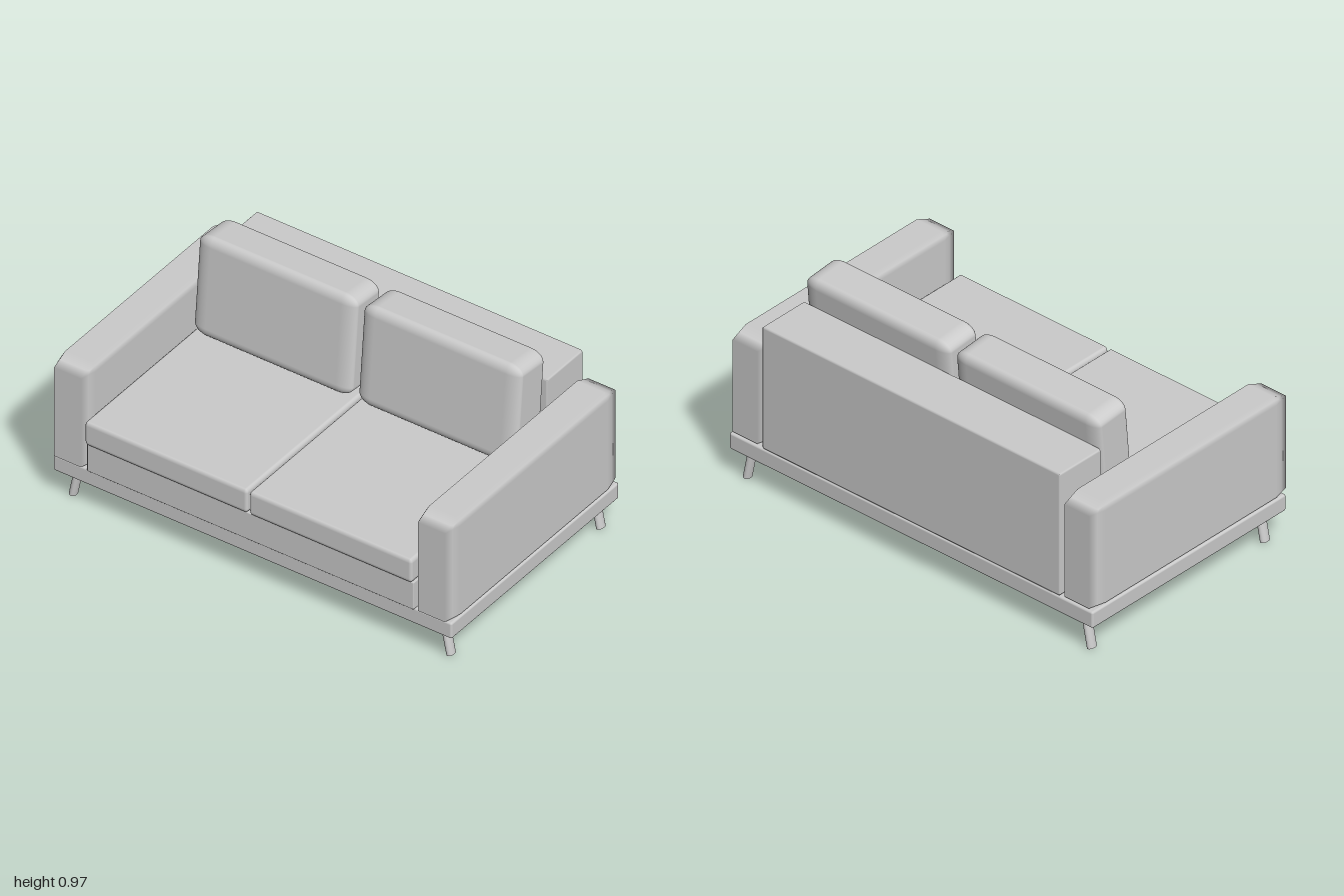
import * as THREE from 'three';

const material = new THREE.MeshStandardMaterial({ color: 0xcccccc });

// Box with softly shaded edges. bevel = [x, y, z] inset; steps = 1 gives a plain chamfer, more gives a round edge.
function softBox(size, bevel, steps = 1) {
  const n = 2 * steps + 1;
  const geo = new THREE.BoxGeometry(2, 2, 2, n, n, n);
  const pos = geo.attributes.position, nor = geo.attributes.normal;
  const dir = new THREE.Vector3(), normal = new THREE.Vector3();
  for (let v = 0; v < pos.count; v++) {
    const side = [];
    for (let a = 0; a < 3; a++) {
      const i = Math.round((pos.getComponent(v, a) + 1) / 2 * n);
      side[a] = i <= steps ? -1 : 1;
      const t = (i <= steps ? i - steps : i - steps - 1) / steps;
      dir.setComponent(a, Math.tan(t * Math.PI / 4));
    }
    const length = steps === 1 ? Math.abs(dir.x) + Math.abs(dir.y) + Math.abs(dir.z) : dir.length();
    dir.divideScalar(length);
    for (let a = 0; a < 3; a++) {
      const d = dir.getComponent(a);
      pos.setComponent(v, a, side[a] * (size[a] / 2 - bevel[a]) + d * bevel[a]);
      normal.setComponent(a, d / bevel[a]);
    }
    normal.normalize();
    nor.setXYZ(v, normal.x, normal.y, normal.z);
  }
  return geo;
}

export function createModel() {
  const sofa = new THREE.Group();
  sofa.name = 'sofa';

  const add = (name, geometry, x, y, z) => {
    const mesh = new THREE.Mesh(geometry, material);
    mesh.name = name;
    mesh.position.set(x, y, z);
    sofa.add(mesh);
    return mesh;
  };
  // Soft box placed by its minimum and maximum corners
  const block = (name, min, max, bevel, steps) => {
    const size = min.map((m, a) => max[a] - m);
    const mid = min.map((m, a) => (max[a] + m) / 2);
    return add(name, softBox(size, bevel, steps), ...mid);
  };

  // Plinth, seat frame and backrest
  block('base', [-1, 0.14, -0.605], [1, 0.22, 0.58], [0.01, 0.01, 0.01], 2);
  block('seatFrame', [-0.82, 0.22, -0.36], [0.82, 0.36, 0.595], [0.005, 0.005, 0.005]);
  block('backrest', [-0.82, 0.22, -0.605], [0.82, 0.82, -0.35], [0.008, 0.01, 0.005]);

  for (const s of [-1, 1]) {
    const side = s > 0 ? 'left' : 'right';

    // Arm: wide chamfers along its length, flattened towards the base
    const armGeo = softBox([0.175, 0.5, 1.205], [0.02, 0.036, 0.08]);
    const p = armGeo.attributes.position;
    for (let i = 0; i < p.count; i++) {
      const rise = p.getY(i) + 0.25;
      if (rise < 0.04) p.setY(i, -0.25 + rise * 0.35);
    }
    add(side + 'Arm', armGeo, s * 0.9125, 0.47, -0.003);

    // Seat cushion
    const seat = softBox([0.815, 0.12, 0.96], [0.015, 0.02, 0.012], 2);
    add(side + 'SeatCushion', seat, s * 0.4125, 0.424, 0.13);

    // Back cushion leaning on the backrest
    const back = softBox([0.795, 0.482, 0.195], [0.07, 0.045, 0.03], 4);
    add(side + 'BackCushion', back, s * 0.4125, 0.7235, -0.247).rotation.x = -0.092;

    // Splayed oval legs
    for (const [end, z] of [['Front', 0.508], ['Back', -0.55]]) {
      const legGeo = new THREE.CylinderGeometry(1, 1, 0.15, 20);
      legGeo.scale(0.017, 1, 0.024);
      add(side + end + 'Leg', legGeo, s * 0.932, 0.077, z).rotation.z = s * 0.2;
    }
  }
  return sofa;
}
